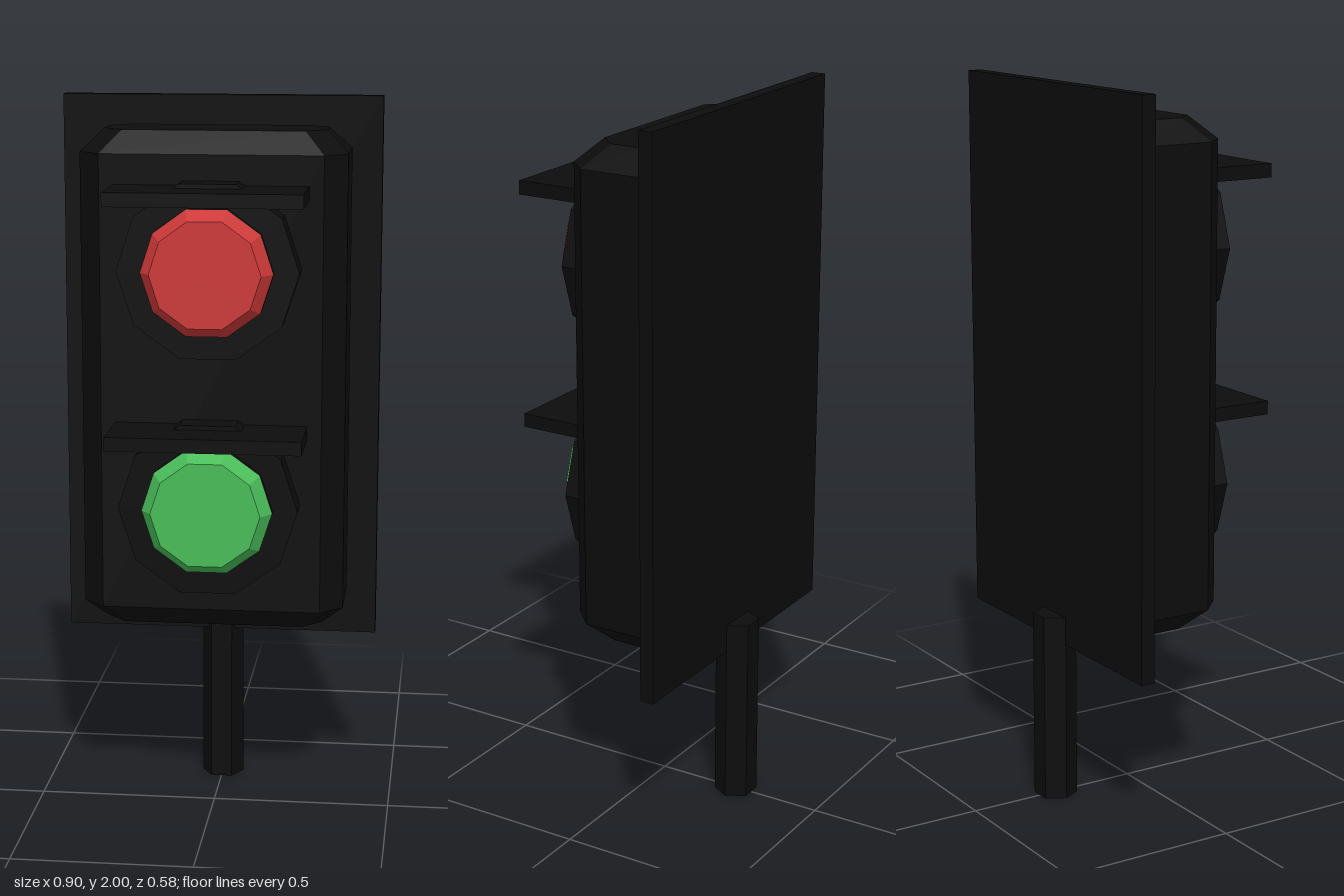
import * as THREE from 'three';

const paint = (name, color) => {
  const m = new THREE.MeshStandardMaterial({ color });
  m.name = name;
  return m;
};

// Split shared vertices so every face is shaded flat
function faceted(geometry) {
  const g = geometry.index ? geometry.toNonIndexed() : geometry;
  g.computeVertexNormals();
  return g;
}

// Octagonal ring: rectangle with cut corners at height y
function ring(y, halfX, back, front, cut) {
  return [
    [halfX, front - cut], [halfX, back + cut], [halfX - cut, back], [-halfX + cut, back],
    [-halfX, back + cut], [-halfX, front - cut], [-halfX + cut, front], [halfX - cut, front],
  ].map(([x, z]) => [x, y, z]);
}

// Skin stacked rings (bottom to top) and cap both ends
function loft(rings) {
  const n = rings[0].length, index = [];
  for (let r = 0; r < rings.length - 1; r++) {
    for (let i = 0; i < n; i++) {
      const a = r * n + i, b = r * n + (i + 1) % n;
      index.push(a, b, b + n, a, b + n, a + n);
    }
  }
  const top = (rings.length - 1) * n;
  for (let i = 1; i < n - 1; i++) {
    index.push(0, i + 1, i, top, top + i, top + i + 1);
  }
  const g = new THREE.BufferGeometry();
  g.setAttribute('position', new THREE.Float32BufferAttribute(rings.flat(2), 3));
  g.setIndex(index);
  return faceted(g);
}

// Ten-sided disc facing +z, between depths z0 and z1
function disc(rFront, rBack, z0, z1) {
  const g = new THREE.CylinderGeometry(rFront, rBack, z1 - z0, 10, 1, false, Math.PI / 2);
  g.rotateX(Math.PI / 2).translate(0, 0, (z0 + z1) / 2);
  return faceted(g);
}

export function createModel() {
  const model = new THREE.Group();
  model.name = 'trafficLight';
  const black = paint('black', 0x0c0c0c);
  const red = paint('red', 0xcc3838);
  const green = paint('green', 0x48bc58);

  const add = (parent, name, geometry, material, x = 0, y = 0, z = 0) => {
    const mesh = new THREE.Mesh(geometry, material);
    mesh.name = name;
    mesh.position.set(x, y, z);
    parent.add(mesh);
  };

  // Hexagonal post
  add(model, 'post', faceted(new THREE.CylinderGeometry(0.06, 0.06, 0.535, 6, 1, false, Math.PI / 2)),
    black, 0, 0.2675, -0.24);

  // Flat board behind the housing
  add(model, 'backPlate', new THREE.BoxGeometry(0.896, 1.545, 0.04), black, 0, 1.2275, -0.22);

  // Chamfered housing
  add(model, 'housing', loft([
    ring(0.535, 0.305, -0.178, 0.028, 0.056),
    ring(0.595, 0.365, -0.238, 0.088, 0.061),
    ring(1.86, 0.365, -0.238, 0.088, 0.061),
    ring(1.92, 0.305, -0.178, 0.028, 0.056),
  ]), black);

  // Two lamps, each with a rim, a visor and a lens
  for (const [name, y, colour] of [['redLamp', 1.555, red], ['greenLamp', 0.902, green]]) {
    const lamp = new THREE.Group();
    lamp.name = name;
    lamp.position.y = y;
    add(lamp, 'rim', disc(0.247, 0.247, 0.07, 0.17), black);
    add(lamp, 'lensSeat', disc(0.179, 0.179, 0.16, 0.19), black);
    add(lamp, 'lens', disc(0.15, 0.179, 0.19, 0.232), colour);
    add(lamp, 'visor', new THREE.BoxGeometry(0.53, 0.038, 0.22), black, 0, 0.204, 0.18);
    model.add(lamp);
  }
  return model;
}
